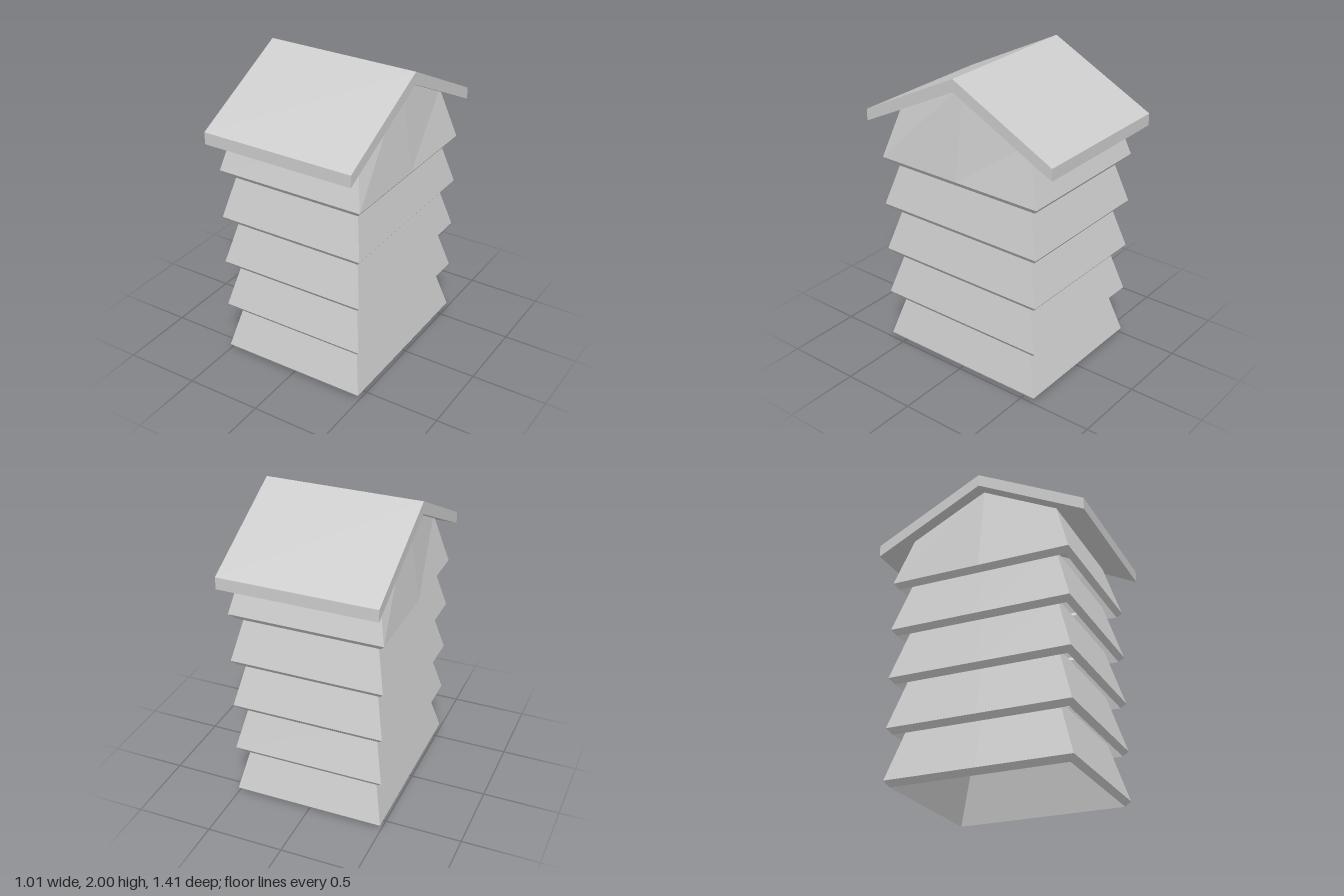
import * as THREE from 'three';

const material = new THREE.MeshStandardMaterial({ color: 0xcccccc, flatShading: true });

// Closed hollow shell: rectangular rings [halfX, halfZ, y, peakRise] joined in sequence.
// Each ring has an extra point at the middle of its x sides, lifted to form a gable.
function shellGeometry(rings) {
  const loops = rings.map(([x, z, y, rise = 0]) => [
    [x, y, z], [x, y + rise, 0], [x, y, -z],
    [-x, y, -z], [-x, y + rise, 0], [-x, y, z],
  ]);
  const positions = [];
  loops.forEach((low, r) => {
    const high = loops[(r + 1) % loops.length];
    for (let i = 0; i < 6; i++) {
      const j = (i + 1) % 6;
      positions.push(...low[i], ...low[j], ...high[j], ...low[i], ...high[j], ...high[i]);
    }
  });
  const geometry = new THREE.BufferGeometry();
  geometry.setAttribute('position', new THREE.Float32BufferAttribute(positions, 3));
  geometry.computeVertexNormals();
  return geometry;
}

function addPart(group, name, geometry, y = 0) {
  const mesh = new THREE.Mesh(geometry, material);
  mesh.name = name;
  mesh.position.y = y;
  group.add(mesh);
}

export function createModel() {
  const group = new THREE.Group();
  group.name = 'louveredHut';

  // Overlapping sloped tiers, open underneath, with a bevelled lower lip
  const step = 0.327;
  const lip = [[0.468, 0.566, 0], [0.497, 0.597, 0.037]];
  const tier = shellGeometry([...lip, [0.415, 0.487, 0.395], [0.384, 0.456, 0.36]]);
  for (let i = 0; i < 4; i++) addPart(group, `tier${i + 1}`, tier, i * step);

  // Top tier rises into a gable under the roof
  const gable = shellGeometry([...lip, [0.415, 0.487, 0.392, 0.24], [0.374, 0.444, 0.392, 0.24]]);
  addPart(group, 'gableTier', gable, 4 * step);

  // Pitched roof: chevron section swept along x
  const width = 1.01;
  const section = new THREE.Shape([
    [-0.706, 1.565], [0, 1.92], [0.706, 1.565],
    [0.706, 1.643], [0, 2], [-0.706, 1.643],
  ].map(([z, y]) => new THREE.Vector2(z, y)));
  const roof = new THREE.ExtrudeGeometry(section, { depth: width, bevelEnabled: false });
  roof.translate(0, 0, -width / 2).rotateY(Math.PI / 2);
  addPart(group, 'roof', roof);

  return group;
}
